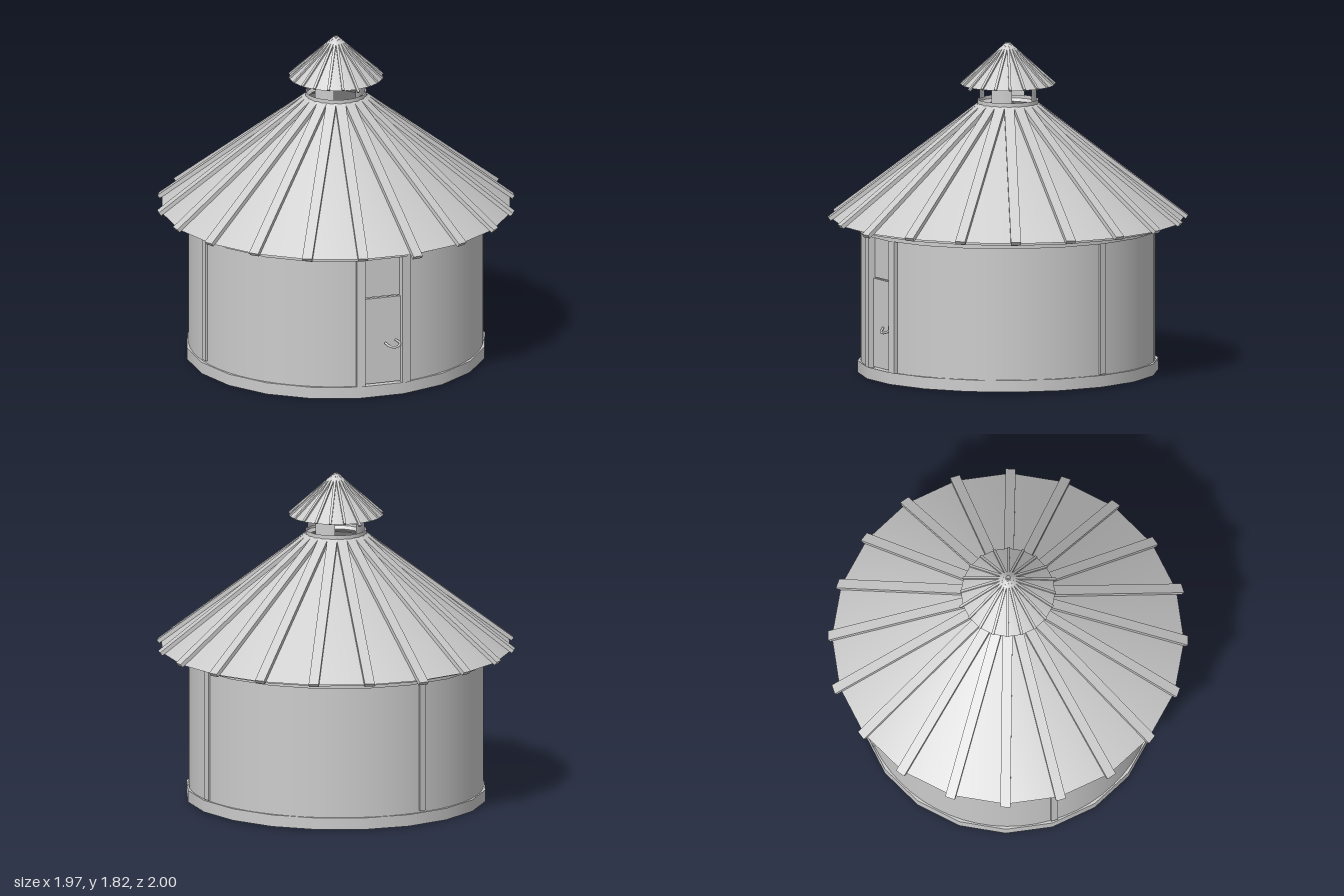
import * as THREE from 'three';

const SIDES = 20;

export function createModel() {
  const model = new THREE.Group();
  const mat = new THREE.MeshStandardMaterial({ color: 0xcccccc, side: THREE.DoubleSide });

  const add = (name, geometry, parent = model) => {
    const mesh = new THREE.Mesh(geometry, mat);
    mesh.name = name;
    parent.add(mesh);
    return mesh;
  };
  // Cylinder or cone between two heights
  const ring = (name, rTop, rBottom, y0, y1, { open = false, sides = SIDES, start = 0, sweep = Math.PI * 2 } = {}, parent = model) => {
    const m = add(name, new THREE.CylinderGeometry(rTop, rBottom, y1 - y0, sides, 1, open, start, sweep), parent);
    m.position.y = (y0 + y1) / 2;
    return m;
  };
  // Upright or sloping bar turned around the vertical axis
  const turned = (name, angle, geometry, y, r, slope, parent) => {
    const arm = new THREE.Group();
    arm.name = name;
    arm.rotation.y = angle;
    const m = add(name, geometry, arm);
    m.position.set(0, y, r);
    m.rotation.x = slope;
    parent.add(arm);
  };
  // Radial bars lying on a cone from (r0, y0) at the eave to (r1, y1) at the top
  const ribs = (name, width, thick, r0, y0, r1, y1, parent) => {
    const slope = Math.atan2(y1 - y0, r0 - r1);
    for (let i = 0; i < SIDES; i++) {
      const extra = i % (SIDES / 2) === 0 ? 0.015 : 0;
      const re = r0 + extra, ye = y0 - extra * Math.tan(slope);
      const geo = new THREE.BoxGeometry(width, thick, Math.hypot(re - r1, y1 - ye));
      turned(name, i / SIDES * Math.PI * 2, geo, (ye + y1) / 2, (re + r1) / 2, slope, parent);
    }
  };

  // Base slab, set very slightly out of level
  ring('base', 0.825, 0.825, 0.005, 0.07).rotation.z = 0.006;

  // Round wall with the doorway left open
  const doorA = -0.275, doorB = -0.012;
  ring('wall', 0.808, 0.808, 0.05, 0.84,
    { open: true, sides: 60, start: doorB, sweep: Math.PI * 2 - (doorB - doorA) });
  // Cover strips at the wall joints
  for (const a of [1.59, 3.26, 4.73]) {
    turned('wallStrip', a, new THREE.BoxGeometry(0.04, 0.73, 0.02), 0.445, 0.809, 0, model);
  }

  // Door, jambs and rail
  const door = new THREE.Group();
  door.name = 'door';
  model.add(door);
  for (const a of [-0.3, 0.018]) {
    turned('doorJamb', a, new THREE.BoxGeometry(0.048, 0.75, 0.05), 0.445, 0.805, 0, door);
  }
  const mid = (doorA + doorB) / 2;
  turned('lowerLeaf', mid, new THREE.BoxGeometry(0.22, 0.49, 0.02), 0.32, 0.785, 0, door);
  turned('upperLeaf', mid, new THREE.BoxGeometry(0.22, 0.26, 0.02), 0.7, 0.775, 0, door);
  // Door handle: a curved grip on a small plate
  const grip = new THREE.CatmullRomCurve3([
    new THREE.Vector3(-0.1, 0.305, 0.795),
    new THREE.Vector3(-0.08, 0.288, 0.825),
    new THREE.Vector3(-0.05, 0.285, 0.835),
    new THREE.Vector3(-0.02, 0.298, 0.82),
    new THREE.Vector3(-0.04, 0.318, 0.8),
  ]);
  add('doorHandle', new THREE.TubeGeometry(grip, 16, 0.007, 6), door);

  // Stepped eave rings
  ring('lowerEaveRing', 0.84, 0.84, 0.8, 0.845).rotation.z = 0.006;
  ring('upperEaveRing', 0.905, 0.905, 0.832, 0.858);

  // Main roof and its battens
  const roof = new THREE.Group();
  roof.name = 'roof';
  model.add(roof);
  ring('roofCone', 0.15, 0.965, 0.852, 1.475, { open: true }, roof);
  ribs('roofBatten', 0.055, 0.022, 0.98, 0.853, 0.155, 1.483, roof);

  // Vent turret with four openings under a small cone
  const turret = new THREE.Group();
  turret.name = 'ventTurret';
  model.add(turret);
  ring('turretCollar', 0.168, 0.168, 1.455, 1.51, { open: true }, turret);
  for (let i = 0; i < 4; i++) {
    ring('turretWall', 0.157, 0.157, 1.505, 1.6,
      { open: true, sides: 6, start: i * Math.PI / 2 + 0.28, sweep: 0.75 }, turret);
  }
  ring('turretCap', 0, 0.258, 1.592, 1.82, { open: true }, turret);
  ribs('capBatten', 0.014, 0.012, 0.258, 1.594, 0.006, 1.82, turret);

  return model;
}
